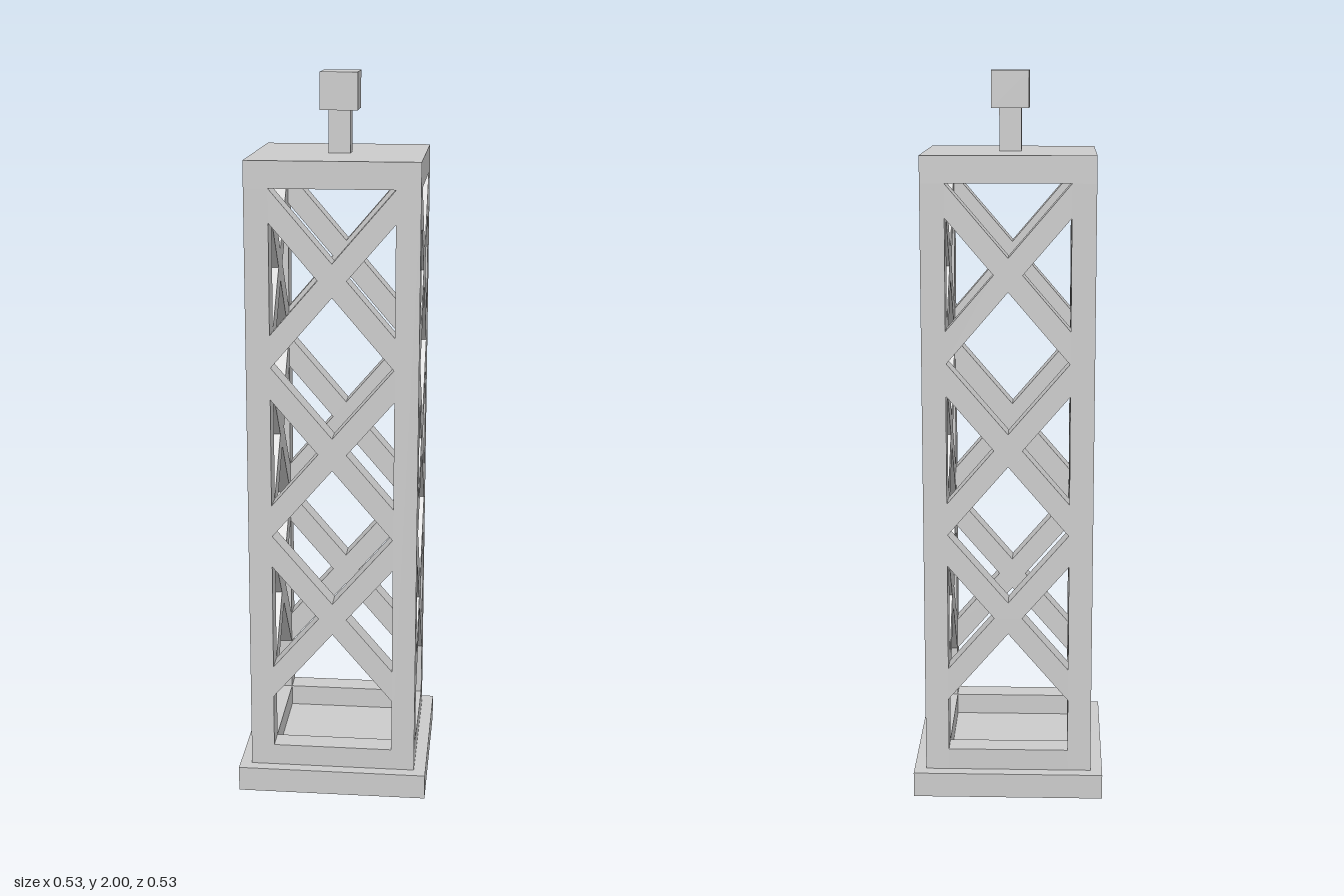
import * as THREE from 'three';

const material = new THREE.MeshStandardMaterial({ color: 0xcccccc, flatShading: true });

const OUTER = 0.232;  // half width of the tower
const INNER = 0.167;  // half width of the openings
const DEPTH = OUTER - INNER;
const MID = (OUTER + INNER) / 2;

// Box given by its footprint, bottom and top
function block(name, width, depth, bottom, top, x = 0, z = 0) {
  const mesh = new THREE.Mesh(new THREE.BoxGeometry(width, top - bottom, depth), material);
  mesh.name = name;
  mesh.position.set(x, (bottom + top) / 2, z);
  return mesh;
}

// Crossed diagonals as one outline, cut upright where they meet the posts
function crossGeometry() {
  const w = INNER, rise = 0.195, t = 0.045, notch = (t * w) / rise;
  const outline = [
    [-w, -rise - t], [0, -t], [w, -rise - t], [w, -rise + t], [notch, 0], [w, rise - t],
    [w, rise + t], [0, t], [-w, rise + t], [-w, rise - t], [-notch, 0], [-w, -rise + t],
  ].map(([x, y]) => new THREE.Vector2(x, y));
  return new THREE.ExtrudeGeometry(new THREE.Shape(outline), { depth: DEPTH, bevelEnabled: false });
}

export function createModel() {
  const model = new THREE.Group();
  model.name = 'latticeTower';

  // Plinth, roof plate and finial
  model.add(
    block('base', 0.53, 0.53, 0, 0.07),
    block('roofPlate', OUTER * 2, OUTER * 2, 1.713, 1.785),
    block('finialStem', 0.06, 0.06, 1.785, 1.9),
    block('finialCap', 0.102, 0.102, 1.9, 2),
  );

  // Corner posts
  for (const x of [-MID, MID]) {
    for (const z of [-MID, MID]) model.add(block('cornerPost', DEPTH, DEPTH, 0.07, 1.713, x, z));
  }

  // Four sides, each with a bottom rail and three stacked cross braces
  const cross = crossGeometry();
  for (let i = 0; i < 4; i++) {
    const side = new THREE.Group();
    side.name = 'side';
    side.rotation.y = (i * Math.PI) / 2;
    side.add(block('bottomRail', INNER * 2, DEPTH, 0.07, 0.13, 0, MID));
    for (const y of [0.52, 0.997, 1.473]) {
      const brace = new THREE.Mesh(cross, material);
      brace.name = 'crossBrace';
      brace.position.set(0, y, INNER);
      side.add(brace);
    }
    model.add(side);
  }
  return model;
}
